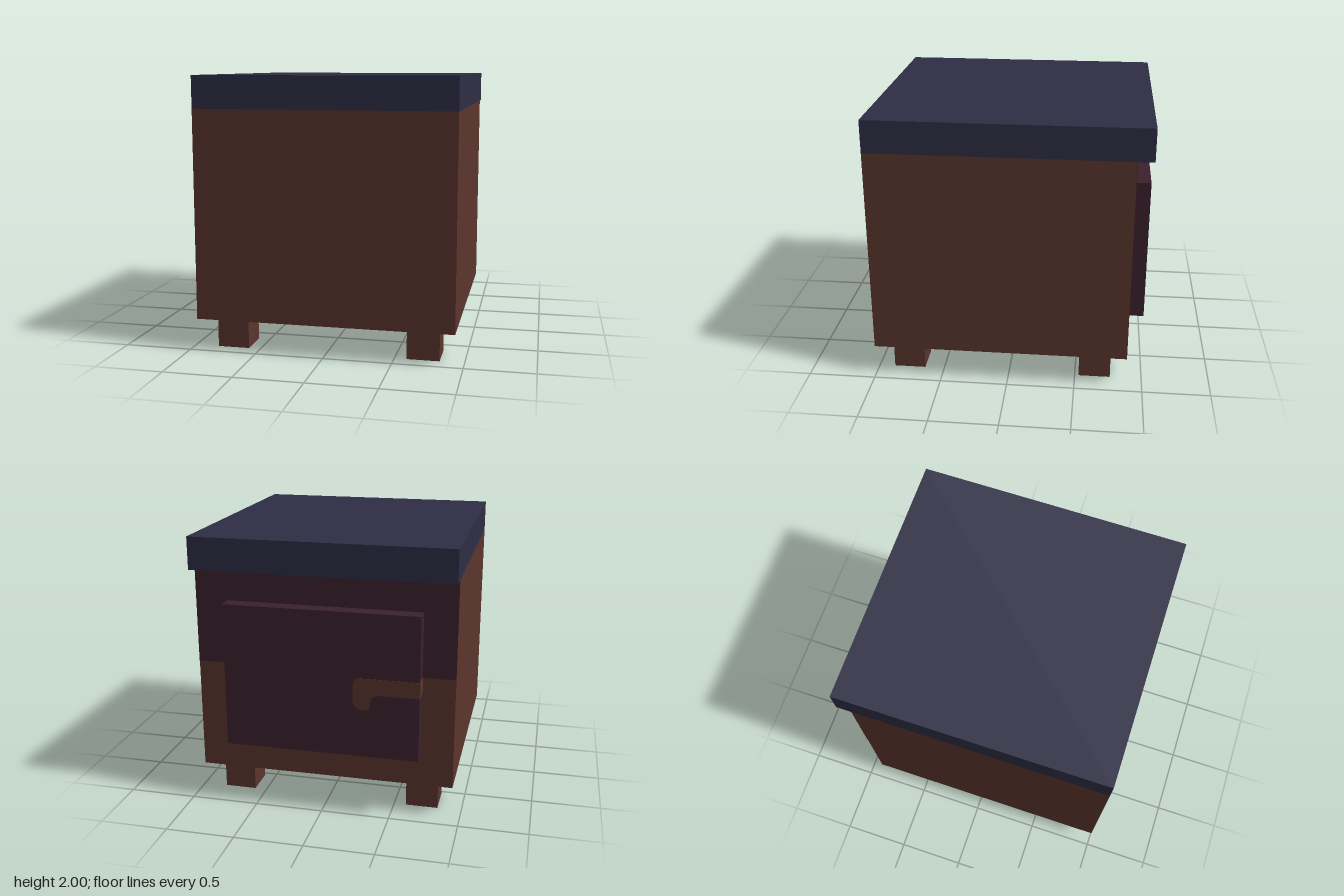
import * as THREE from 'three';

const U = 2 / 17; // the cabinet is laid out on a grid of 17 units in height

function material(name, color) {
  const m = new THREE.MeshStandardMaterial({ color });
  m.name = name;
  return m;
}

export function createModel() {
  const brown = material('brownWood', 0x5b352d);
  const navy = material('navyTop', 0x2e2d45);
  const plum = material('plumDoor', 0x3b212d);
  const group = new THREE.Group();
  group.name = 'cabinet';

  // Box given by its lower and upper corners, in grid units
  function box(name, mat, [x0, y0, z0], [x1, y1, z1]) {
    const geometry = new THREE.BoxGeometry((x1 - x0) * U, (y1 - y0) * U, (z1 - z0) * U);
    const mesh = new THREE.Mesh(geometry, mat);
    mesh.position.set((x0 + x1) * U / 2, (y0 + y1) * U / 2, (z0 + z1) * U / 2);
    mesh.name = name;
    group.add(mesh);
    return mesh;
  }

  // Main case and overhanging top
  box('body', brown, [-8, 2, -7.5], [8, 15, 8.5]);
  box('lid', navy, [-8, 15, -8.5], [8, 17, 8.5]);

  // Four short feet
  for (const x of [-7, 5]) {
    for (const z of [-6.5, 5.5]) box('foot', brown, [x, 0, z], [x + 2, 2, z + 2]);
  }

  // Dark upper half of the back wall
  const t = 0.03;
  box('upperBackPanel', plum, [-8, 9, -7.5 - t], [8, 15, -7.5]);

  // Raised door on the back
  box('door', plum, [-6, 4, -8.5 + t], [6, 13, -7.5]);

  // Painted latch: a band with a rounded hook, wrapping round the door edge
  const s = new THREE.Shape();
  s.moveTo(-6, 8);
  s.lineTo(-6, 9);
  s.lineTo(-2.4, 9);
  s.quadraticCurveTo(-2, 9, -2, 8.6);
  s.lineTo(-2, 7.5);
  s.quadraticCurveTo(-2.1, 7, -2.6, 7);
  s.quadraticCurveTo(-3.05, 7, -3.05, 7.5);
  s.quadraticCurveTo(-3.1, 8, -3.6, 8);
  s.closePath();
  const latchGeometry = new THREE.ExtrudeGeometry(s, { depth: t, bevelEnabled: false, curveSegments: 6 });
  latchGeometry.scale(U, U, U);
  const latch = new THREE.Mesh(latchGeometry, brown);
  latch.position.z = -8.5 * U;
  latch.name = 'latch';
  group.add(latch);
  box('latchEdge', brown, [-6 - t, 8, -8.5], [-6, 9, -7.5]);

  return group;
}
